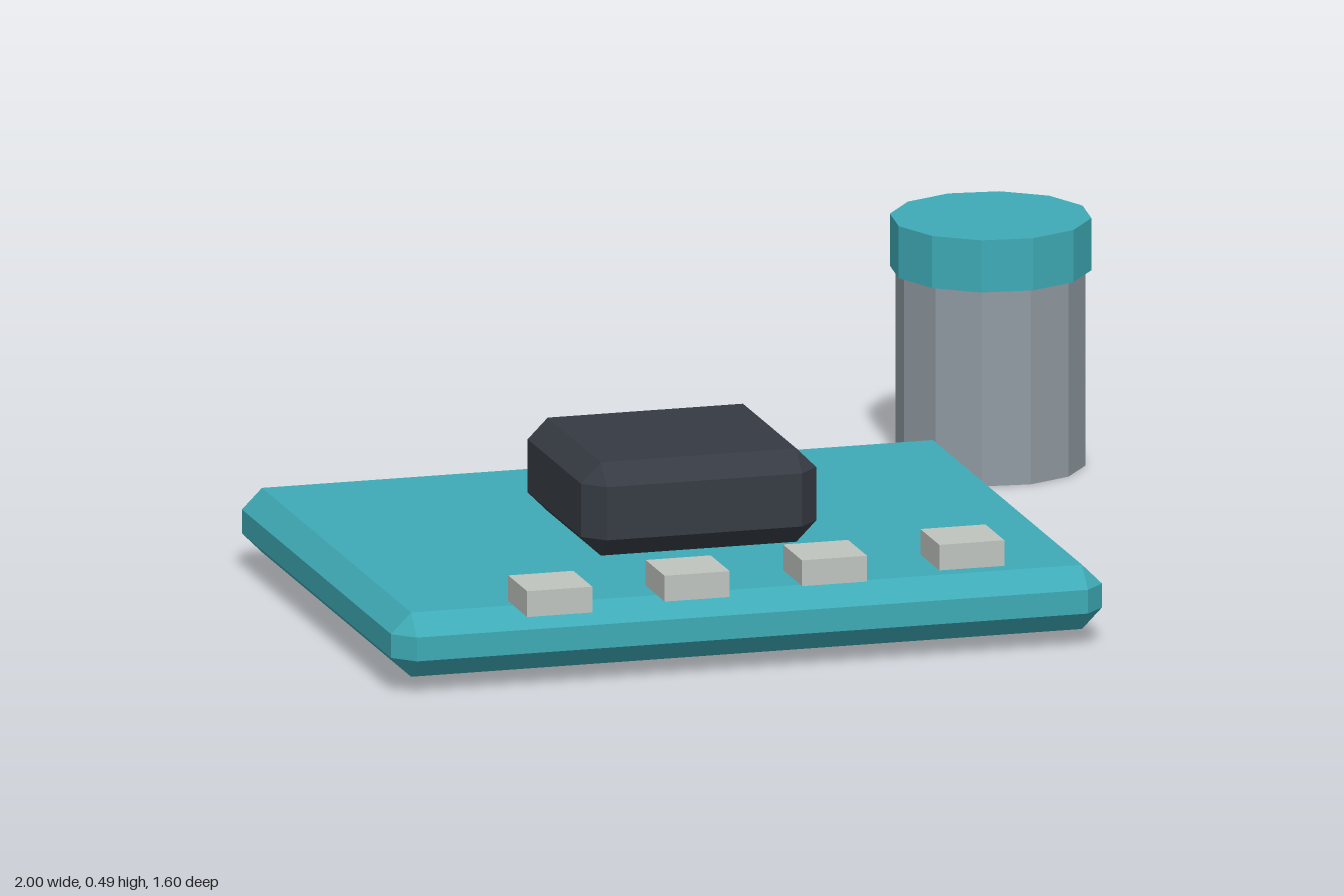
import * as THREE from 'three';
import { ConvexGeometry } from 'three/addons/geometries/ConvexGeometry.js';

const material = (name, color) => {
  const m = new THREE.MeshStandardMaterial({ color, flatShading: true });
  m.name = name;
  return m;
};

// Box with every edge and corner cut at 45 degrees
function chamferedBox(w, h, d, c) {
  const points = [];
  for (const sx of [-1, 1]) for (const sy of [-1, 1]) for (const sz of [-1, 1]) {
    for (let axis = 0; axis < 3; axis++) {
      const inset = [c, c, c];
      inset[axis] = 0;
      points.push(new THREE.Vector3(
        sx * (w / 2 - inset[0]), sy * (h / 2 - inset[1]), sz * (d / 2 - inset[2])));
    }
  }
  return new ConvexGeometry(points);
}

export function createModel() {
  const teal = material('teal', 0x3eabb6);
  const charcoal = material('charcoal', 0x363b43);
  const silver = material('silver', 0xc0c4bf);
  const grey = material('grey', 0x909ba2);

  const model = new THREE.Group();
  model.name = 'circuitBoardAndCapacitor';
  const turn = -0.148;

  const add = (parent, name, geometry, mat, x, y, z, angle = 0) => {
    const mesh = new THREE.Mesh(geometry, mat);
    mesh.name = name;
    mesh.position.set(x, y, z);
    mesh.rotation.y = angle;
    parent.add(mesh);
  };

  // Turned board with the chip at its centre
  add(model, 'board', chamferedBox(1.42, 0.127, 1.1, 0.04), teal, -0.222, 0.0945, 0.152, turn);
  add(model, 'chip', chamferedBox(0.47, 0.185, 0.445, 0.04), charcoal, -0.222, 0.25, 0.152, turn);

  // Row of contacts along the front
  const contactGeometry = new THREE.BoxGeometry(0.13, 0.051, 0.13);
  for (let i = 0; i < 4; i++) {
    add(model, 'contact' + (i + 1), contactGeometry, silver, -0.698 + i * 0.29, 0.183, 0.627, turn);
  }

  // Separate twelve-sided capacitor with a wider cap
  const capacitor = new THREE.Group();
  capacitor.name = 'capacitor';
  capacitor.position.set(0.803, 0, -0.612);
  add(capacitor, 'capacitorBody', new THREE.CylinderGeometry(0.183, 0.183, 0.4, 12), grey, 0, 0.2, 0);
  add(capacitor, 'capacitorCap', new THREE.CylinderGeometry(0.194, 0.194, 0.103, 12), teal, 0, 0.4375, 0);
  model.add(capacitor);

  return model;
}
